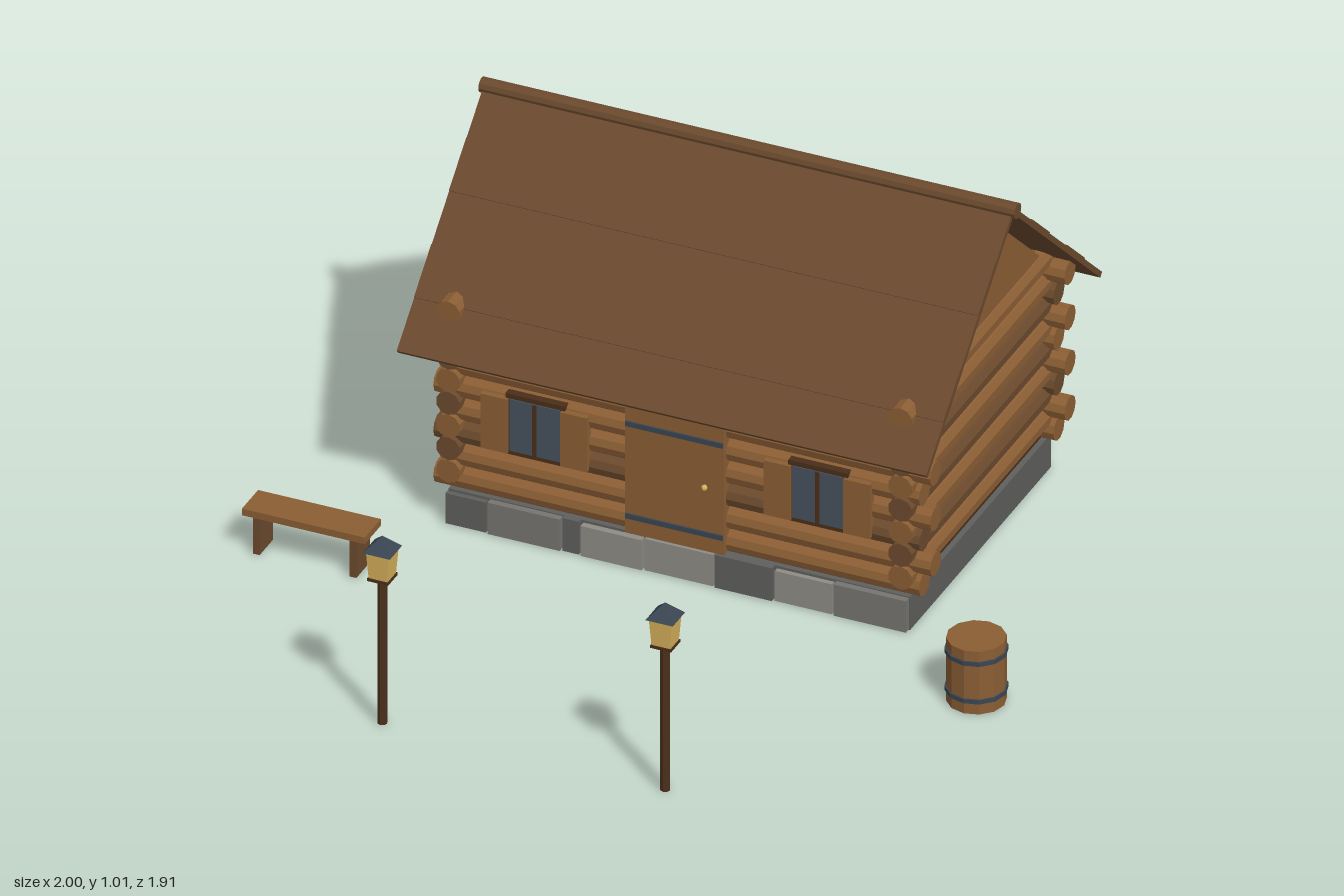
import * as THREE from 'three';

const mat = (name, color) => {
  const m = new THREE.MeshStandardMaterial({ color });
  m.name = name;
  m.flatShading = true;
  return m;
};

export function createModel() {
  const root = new THREE.Group();
  root.name = 'logCabinScene';
  const M = {
    log: mat('lightLogWood', 0x8b5e34),
    dark: mat('darkLogWood', 0x6b4a2e),
    post: mat('deepBrownWood', 0x4a2f1a),
    iron: mat('iron', 0x3a4652),
    glass: mat('windowGlass', 0x46525c),
    lamp: mat('lampGlow', 0xd9b25c),
    stone: mat('lightStone', 0x8e8c84),
    stoneMid: mat('midStone', 0x767570),
    stoneDark: mat('darkStone', 0x5f5f5d),
  };

  const group = (name, x = 0, y = 0, z = 0, parent = root) => {
    const g = new THREE.Group();
    g.name = name;
    g.position.set(x, y, z);
    parent.add(g);
    return g;
  };
  const add = (parent, name, geo, m, x = 0, y = 0, z = 0) => {
    const mesh = new THREE.Mesh(geo, m);
    mesh.name = name;
    mesh.position.set(x, y, z);
    parent.add(mesh);
    return mesh;
  };
  // Box given by its low and high corners
  const box = (parent, name, m, x0, x1, y0, y1, z0, z1) =>
    add(parent, name, new THREE.BoxGeometry(x1 - x0, y1 - y0, z1 - z0), m,
      (x0 + x1) / 2, (y0 + y1) / 2, (z0 + z1) / 2);

  // Foundation with a row of facing stones along the front
  const cabin = group('cabin');
  box(cabin, 'foundation', M.stoneDark, -0.6, 0.64, 0, 0.095, -0.85, -0.01);
  const edges = [-0.605, -0.49, -0.29, -0.24, -0.07, 0.12, 0.28, 0.44, 0.64];
  const stones = [M.stoneDark, M.stoneMid, M.stoneDark, M.stone, M.stone, M.stoneDark, M.stone, M.stoneMid];
  stones.forEach((m, i) => box(cabin, 'facingStone', m,
    edges[i] + 0.003, edges[i + 1] - 0.003, 0.002, 0.088 + (i % 3) * 0.004, -0.018, 0.004 + (i % 2) * 0.004));

  // Interlocking log walls around a dark core
  const xL = -0.59, xR = 0.625, zF = -0.03, zB = -0.83, R = 0.033;
  box(cabin, 'wallCore', M.post, xL, xR, 0.09, 0.58, zB, zF);
  const log = (name, m, len, alongX, x, y, z) => {
    const geo = new THREE.CylinderGeometry(R, R, len, 10);
    if (alongX) geo.rotateZ(Math.PI / 2);
    else geo.rotateX(Math.PI / 2);
    add(cabin, name, geo, m, x, y, z);
  };
  for (let i = 0; i < 8; i++) {
    const x0 = i % 2 ? -0.605 : -0.635, x1 = i % 2 ? 0.7 : 0.67;
    for (const [name, z] of [['frontLog', zF], ['backLog', zB]])
      log(name, i % 4 === 2 ? M.dark : M.log, x1 - x0, true, (x0 + x1) / 2, 0.13 + i * 0.065, z);
    for (const [name, x] of [['rightLog', xL], ['leftLog', xR]])
      log(name, i % 2 && i < 7 ? M.dark : M.log, 0.89, false, x, 0.16 + i * 0.065, -0.43);
  }

  // Gable ends
  const tri = new THREE.Shape();
  tri.moveTo(-0.4, 0.6);
  tri.lineTo(0.4, 0.6);
  tri.lineTo(0, 0.965);
  const gableGeo = new THREE.ExtrudeGeometry(tri, { depth: 0.03, bevelEnabled: false });
  gableGeo.translate(0, 0, -0.015);
  gableGeo.rotateY(Math.PI / 2);
  for (const x of [xL, xR]) add(cabin, 'gable', gableGeo, M.log, x, 0, -0.43);

  // Plank roof, both slopes meeting under a round ridge log
  const rise = 0.475, run = 0.52, slope = Math.hypot(rise, run), n = 5;
  for (const s of [1, -1]) {
    const side = group(s > 0 ? 'frontRoof' : 'backRoof', 0.02, 0.995, -0.43, cabin);
    if (s < 0) side.rotation.y = Math.PI;
    const tilt = group('roofSlope', 0, 0, 0, side);
    tilt.rotation.x = Math.atan2(rise, run);
    for (let i = 0; i < n; i++)
      box(tilt, 'roofPlank', M.dark, s > 0 ? -0.712 : -0.71, 0.71,
        -0.009, 0.006 + (i % 2) * 0.003, i * slope / n, (i + 1) * slope / n);
  }
  const ridge = new THREE.CylinderGeometry(0.021, 0.021, 1.44, 10);
  ridge.rotateZ(Math.PI / 2);
  add(cabin, 'ridgeLog', ridge, M.dark, 0.02, 0.995, -0.43);

  // Door with iron straps and a knob
  const door = group('door', 0.018, 0, 0, cabin);
  box(door, 'doorPanel', M.log, -0.133, 0.133, 0.105, 0.48, -0.03, 0.014);
  for (const y of [0.155, 0.42])
    box(door, 'doorStrap', M.iron, -0.131, 0.131, y - 0.007, y + 0.007, 0.013, 0.019);
  add(door, 'doorKnob', new THREE.SphereGeometry(0.008, 8, 6), M.lamp, 0.083, 0.29, 0.02);

  // Windows with frames and open shutters
  for (const x of [-0.36, 0.4]) {
    const w = group('window', x, 0, 0, cabin);
    box(w, 'windowFrame', M.post, -0.08, 0.08, 0.245, 0.418, -0.03, 0.006);
    box(w, 'windowPane', M.glass, -0.068, 0.068, 0.257, 0.405, 0.005, 0.009);
    box(w, 'windowBar', M.post, -0.005, 0.005, 0.257, 0.405, 0.008, 0.013);
    for (const s of [-0.107, 0.107])
      box(w, 'shutter', M.log, s - 0.036, s + 0.036, 0.25, 0.405, -0.01, 0.014);
  }

  // Lantern posts
  for (const x of [-0.36, 0.4]) {
    const p = group('lanternPost', x, 0, 0.915);
    add(p, 'post', new THREE.CylinderGeometry(0.013, 0.013, 0.42, 8), M.post, 0, 0.21, 0);
    const body = new THREE.CylinderGeometry(0.043, 0.036, 0.075, 4);
    add(p, 'lantern', body, M.lamp, 0, 0.4595, 0).rotation.y = Math.PI / 4;
    box(p, 'lanternBase', M.post, -0.028, 0.028, 0.415, 0.423, -0.028, 0.028);
    const cap = new THREE.ConeGeometry(0.052, 0.04, 4);
    add(p, 'lanternCap', cap, M.iron, 0, 0.517, 0).rotation.y = Math.PI / 4;
  }

  // Bench
  const bench = group('bench', -0.835, 0, 0.285);
  box(bench, 'benchSeat', M.log, -0.165, 0.165, 0.108, 0.127, -0.048, 0.048);
  for (const x of [-0.13, 0.13])
    box(bench, 'benchLeg', M.dark, x - 0.009, x + 0.009, 0, 0.108, -0.04, 0.04);

  // Barrel with two hoops
  const barrel = group('barrel', 0.92, 0, 0.215);
  add(barrel, 'staves', new THREE.CylinderGeometry(0.075, 0.075, 0.18, 12), M.log, 0, 0.09, 0);
  for (const y of [0.037, 0.145])
    add(barrel, 'hoop', new THREE.CylinderGeometry(0.079, 0.079, 0.012, 12), M.iron, 0, y, 0);

  return root;
}
